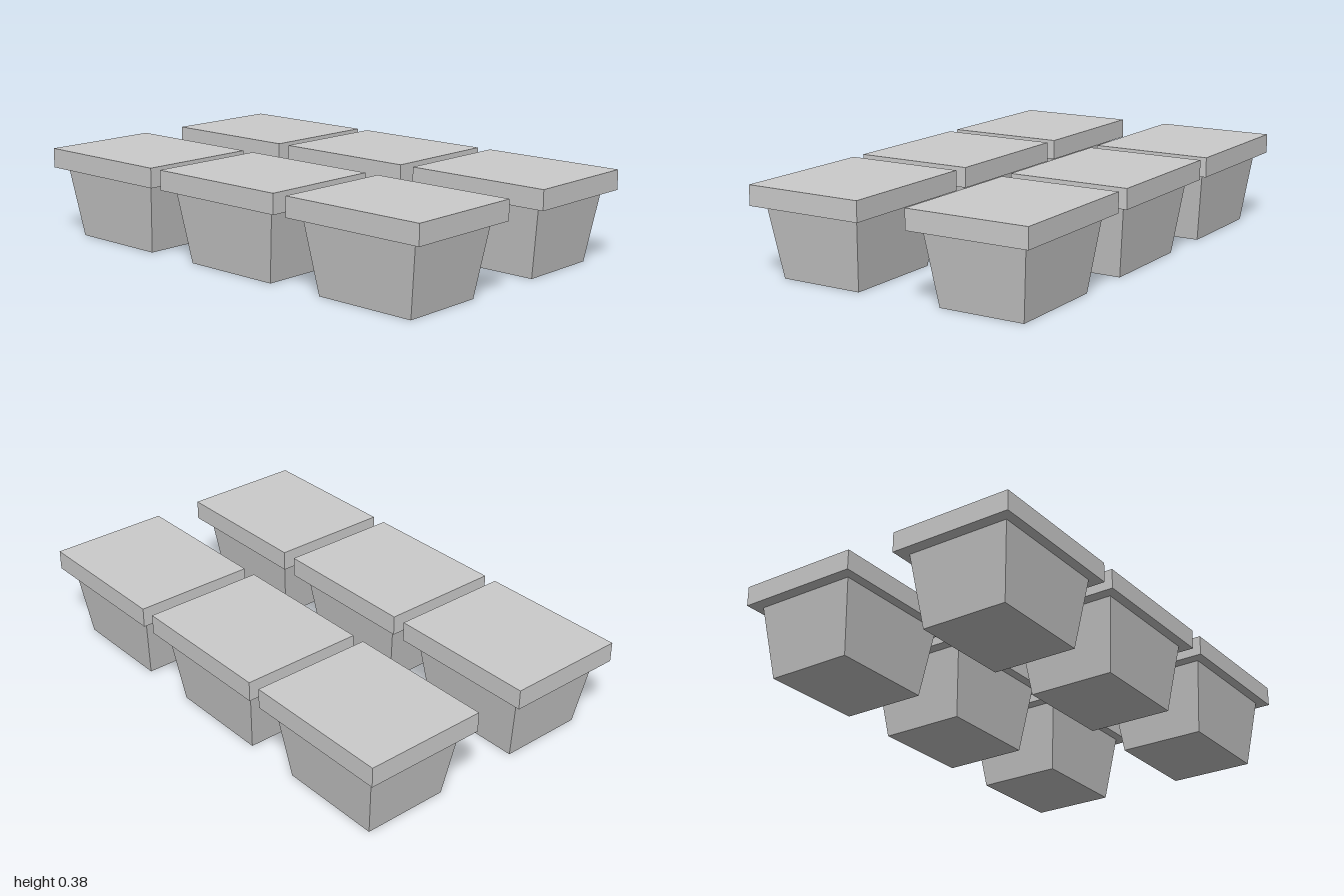
import * as THREE from 'three';

const LID = { w: 0.511, h: 0.082, d: 0.627 };
const BODY = { h: 0.295, topW: 0.431, topD: 0.53, bottomW: 0.357, bottomD: 0.437 };

// Box whose lower face is narrower than its upper face
function taperedBox({ h, topW, topD, bottomW, bottomD }) {
  const geometry = new THREE.BoxGeometry(topW, h, topD);
  const pos = geometry.attributes.position;
  for (let i = 0; i < pos.count; i++) {
    if (pos.getY(i) < 0) {
      pos.setX(i, pos.getX(i) * bottomW / topW);
      pos.setZ(i, pos.getZ(i) * bottomD / topD);
    }
  }
  geometry.translate(0, h / 2, 0);
  geometry.computeVertexNormals();
  return geometry;
}

export function createModel() {
  const model = new THREE.Group();
  model.name = 'liddedTubs';
  const material = new THREE.MeshStandardMaterial({ color: 0xcccccc, flatShading: true });
  const bodyGeometry = taperedBox(BODY);
  const lidGeometry = new THREE.BoxGeometry(LID.w, LID.h, LID.d);

  // Two columns of three tubs
  const columns = { left: 0.3625, right: -0.3625 };
  const rows = { Front: 0.6865, Middle: -0.004, Back: -0.6865 };
  for (const [side, x] of Object.entries(columns)) {
    for (const [row, z] of Object.entries(rows)) {
      const tub = new THREE.Group();
      tub.name = `${side}${row}Tub`;
      tub.position.set(x, 0, z);

      const body = new THREE.Mesh(bodyGeometry, material);
      body.name = 'body';

      const lid = new THREE.Mesh(lidGeometry, material);
      lid.name = 'lid';
      lid.position.y = BODY.h + LID.h / 2;

      tub.add(body, lid);
      model.add(tub);
    }
  }
  return model;
}
